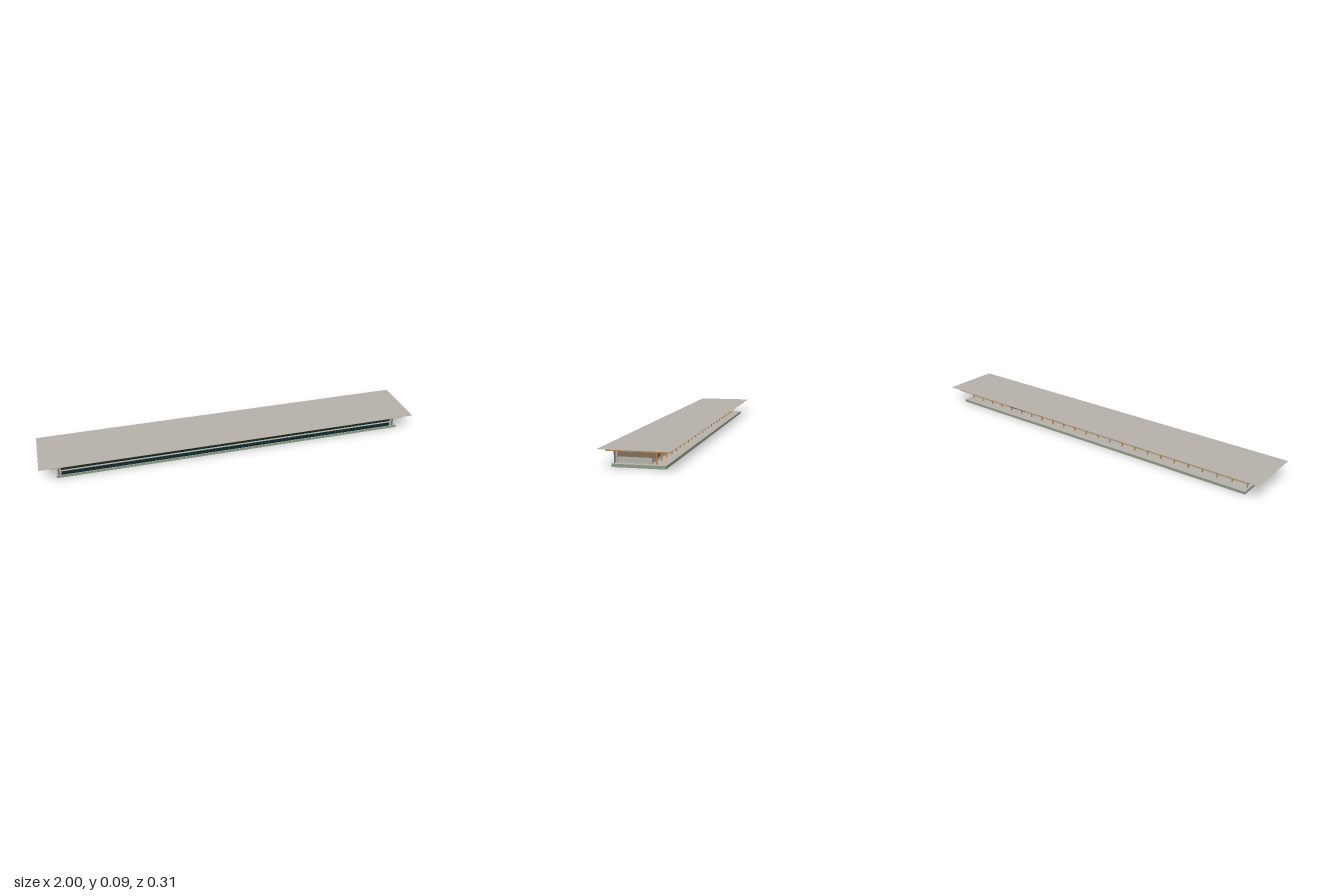
import * as THREE from 'three';

const mat = (name, color) => Object.assign(new THREE.MeshStandardMaterial({ color }), { name });

export function createModel() {
  const concrete = mat('concrete', 0xb4b0a9);
  const rim = mat('greenRim', 0x8b9c85);
  const wood = mat('ochreWood', 0xb5854a);
  const joistWood = mat('darkWood', 0x8a5c30);
  const cladding = mat('brownCladding', 0x7d6d5b);
  const glass = mat('darkGlass', 0x0f2a2a);
  const frame = mat('frameGrey', 0x6f7470);
  const signBlack = mat('signBlack', 0x141c1c);

  const model = new THREE.Group();
  model.name = 'longPavilion';

  // Box given by its min and max on each axis
  const box = (name, m, [x0, x1], [y0, y1], [z0, z1], parent = model) => {
    const mesh = new THREE.Mesh(new THREE.BoxGeometry(x1 - x0, y1 - y0, z1 - z0), m);
    mesh.position.set((x0 + x1) / 2, (y0 + y1) / 2, (z0 + z1) / 2);
    mesh.name = name;
    parent.add(mesh);
    return mesh;
  };
  const group = (name) => {
    const g = new THREE.Group();
    g.name = name;
    model.add(g);
    return g;
  };

  // Platform slab: green sides, concrete top and bottom
  box('platform', [rim, rim, concrete, concrete, rim, rim], [-0.92, 0.93], [0, 0.014], [-0.118, 0.115]);

  // Enclosed lower storey and the clad band above it
  box('lowerWalls', concrete, [-0.9, 0.9], [0.014, 0.04], [-0.05, 0.108]);
  box('upperCladding', cladding, [-0.9, 0.9], [0.039, 0.071], [-0.069, 0.1]);
  box('frontWall', concrete, [-0.903, 0.903], [0.014, 0.071], [0.1, 0.11]);

  // Front window bands with mullions and a ledge between
  const facade = group('frontFacade');
  for (const [y0, y1] of [[0.0141, 0.033], [0.043, 0.065]]) {
    box('windowBand', glass, [-0.895, 0.89], [y0, y1], [0.109, 0.112], facade);
    for (let i = 0; i <= 23; i++) {
      const x = -0.893 + i * 0.0775;
      box('mullion', signBlack, [x - 0.001, x + 0.001], [y0, y1], [0.111, 0.1128], facade);
    }
  }
  box('ledge', concrete, [-0.9, 0.9], [0.037, 0.04], [0.108, 0.115], facade);
  for (const s of [-1, 1]) {
    const x = s * 0.907;
    box('cornerFrame', frame, [x - 0.004, x + 0.004], [0.014, 0.071], [0.108, 0.112], facade);
  }

  // Row of timber posts along the back
  const posts = group('backPosts');
  for (let i = 0; i < 24; i++) {
    const x = -0.908 + i * 0.0788;
    box('post', wood, [x - 0.0025, x + 0.0025], [0.014, 0.072], [-0.074, -0.069], posts);
  }

  // Roof framing: edge beams, long purlins and cross joists
  const framing = group('roofFraming');
  for (const s of [-1, 1]) {
    const z = s * 0.133, x = s * 0.947;
    box('longEdgeBeam', wood, [-0.95, 0.95], [0.071, 0.081], [z - 0.003, z + 0.003], framing);
    box('endBeam', wood, [x - 0.003, x + 0.003], [0.071, 0.081], [-0.13, 0.13], framing);
  }
  for (const z of [-0.112, -0.09, -0.071, 0.112]) {
    box('purlin', wood, [-0.944, 0.944], [0.0725, 0.081], [z - 0.002, z + 0.002], framing);
  }
  for (let i = 0; i <= 94; i++) {
    const x = -0.94 + i * 0.02;
    box('joist', joistWood, [x - 0.0025, x + 0.0025], [0.0715, 0.081], [-0.13, 0.13], framing);
  }

  // Flat roof whose underside tapers in from a thin edge
  const roof = box('roof', concrete, [-1, 1], [0.081, 0.0855], [-0.155, 0.155]);
  const p = roof.geometry.attributes.position;
  for (let i = 0; i < p.count; i++) {
    if (p.getY(i) < 0) {
      p.setX(i, Math.sign(p.getX(i)) * 0.957);
      p.setZ(i, Math.sign(p.getZ(i)) * 0.137);
    }
  }
  roof.geometry.computeVertexNormals();

  // Hanging board under the back eave
  const sign = group('hangingBoard');
  box('board', signBlack, [0.465, 0.575], [0.047, 0.068], [-0.0975, -0.0945], sign);
  for (const x of [0.48, 0.56]) {
    box('hanger', signBlack, [x - 0.001, x + 0.001], [0.067, 0.082], [-0.097, -0.095], sign);
  }

  return model;
}
